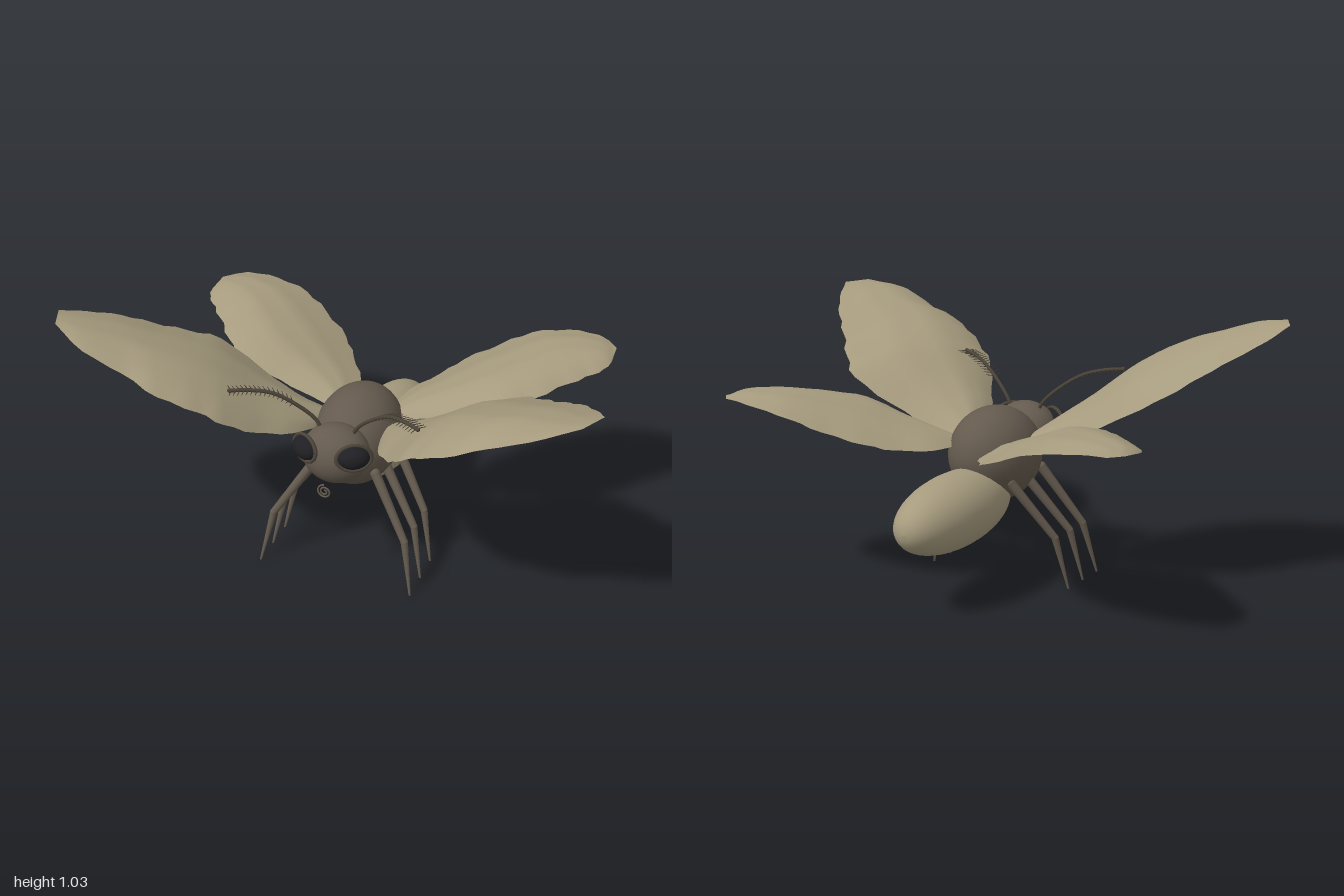
import * as THREE from 'three';

const mat = (name, color, extra = {}) => Object.assign(new THREE.MeshStandardMaterial({ color, ...extra }), { name });
const brown = mat('body brown', 0x645a4e);
const tan = mat('abdomen tan', 0xa69b7e);
const wingTan = mat('wing tan', 0xa69b7e, { side: THREE.DoubleSide });
const dark = mat('dark brown', 0x4a4338);
const black = mat('eye black', 0x202024);

const V = (x, y, z) => new THREE.Vector3(x, y, z);

function add(parent, name, geometry, material) {
  const mesh = new THREE.Mesh(geometry, material);
  mesh.name = name;
  parent.add(mesh);
  return mesh;
}

function ellipsoid(parent, name, material, center, radii) {
  const mesh = add(parent, name, new THREE.SphereGeometry(1, 36, 24), material);
  mesh.position.set(...center);
  mesh.scale.set(...radii);
  return mesh;
}

// Tapered rod between two points
function rod(parent, name, a, b, r0, r1, material, sides = 10) {
  const mesh = add(parent, name, new THREE.CylinderGeometry(r1, r0, a.distanceTo(b), sides), material);
  mesh.position.copy(a).lerp(b, 0.5);
  mesh.quaternion.setFromUnitVectors(V(0, 1, 0), b.clone().sub(a).normalize());
  return mesh;
}

// Arched, softly pleated wing lofted between its leading and trailing edges
function wingGeometry(lead, trail, side, arch) {
  const cols = 12, rows = 24, pos = [], index = [];
  const leadCurve = new THREE.CatmullRomCurve3(lead.map((p) => V(...p)));
  const trailCurve = new THREE.CatmullRomCurve3(trail.map((p) => V(...p)));
  for (let i = 0; i <= rows; i++) {
    const t = i / rows;
    const a = leadCurve.getPoint(t), b = trailCurve.getPoint(t);
    const fullness = Math.sin(Math.PI * (0.1 + 0.9 * t));
    // scalloped margin
    const scallop = 0.008 * Math.sin(i * 2.1) * Math.sin(Math.PI * t);
    const outward = b.clone().sub(a).normalize().multiplyScalar(scallop);
    a.sub(outward);
    b.add(outward);
    for (let j = 0; j <= cols; j++) {
      const u = j / cols;
      const p = a.clone().lerp(b, u);
      const pleat = 0.004 * Math.cos(u * Math.PI * 6) * Math.sin(Math.PI * u);
      p.y += fullness * (arch * Math.sin(Math.PI * Math.pow(u, 0.8)) + pleat);
      pos.push(side * p.x, p.y, p.z);
    }
  }
  const w = cols + 1;
  for (let i = 0; i < rows; i++) {
    for (let j = 0; j < cols; j++) {
      const a = i * w + j, b = a + 1, c = a + w, d = c + 1;
      if (side > 0) index.push(a, c, b, b, c, d);
      else index.push(a, b, c, b, d, c);
    }
  }
  const geometry = new THREE.BufferGeometry();
  geometry.setAttribute('position', new THREE.Float32BufferAttribute(pos, 3));
  geometry.setIndex(index);
  geometry.computeVertexNormals();
  return geometry;
}

const foreLead = [[.12, .55, .12], [.165, .595, .27], [.25, .66, .41], [.32, .735, .51], [.40, .795, .555],
  [.52, .86, .61], [.66, .92, .60], [.80, .985, .612], [.95, 1.025, .535]];
const foreTrail = [[.13, .55, 0], [.28, .585, -.015], [.43, .65, -.035], [.60, .74, -.045], [.70, .80, .04],
  [.79, .865, .14], [.87, .92, .22], [.95, .975, .33], [.997, 1.022, .435]];
const hindLead = [[.13, .55, -.02], [.26, .58, -.035], [.40, .62, -.045], [.53, .66, -.06], [.62, .68, -.15],
  [.72, .70, -.27], [.79, .71, -.35], [.83, .72, -.41], [.832, .735, -.535]];
const hindTrail = [[.08, .55, -.12], [.10, .555, -.24], [.185, .575, -.375], [.25, .605, -.46], [.375, .655, -.55],
  [.48, .70, -.60], [.62, .73, -.62], [.74, .74, -.605], [.79, .735, -.585]];

function leg(parent, side, name, hipY, hipZ, kneeZ, footZ) {
  const group = new THREE.Group();
  group.name = name;
  const hip = V(side * .12, hipY, hipZ), knee = V(side * .265, .205, kneeZ), foot = V(side * .306, 0, footZ);
  rod(group, 'upperLeg', hip, knee, .019, .014, brown);
  rod(group, 'lowerLeg', knee, foot, .014, .004, brown);
  ellipsoid(group, 'hip', brown, hip.toArray(), [.019, .019, .019]);
  ellipsoid(group, 'knee', brown, knee.toArray(), [.014, .014, .014]);
  parent.add(group);
}

function antenna(parent, side) {
  const group = new THREE.Group();
  group.name = 'antenna';
  const curve = new THREE.CatmullRomCurve3([[.055, .62, .25], [.085, .67, .255], [.15, .73, .28], [.22, .775, .31],
    [.29, .795, .35], [.355, .80, .388]].map(([x, y, z]) => V(side * x, y, z)));
  add(group, 'antennaStem', new THREE.TubeGeometry(curve, 28, .007, 8), dark);
  ellipsoid(group, 'antennaTip', dark, curve.getPoint(1).toArray(), [.008, .008, .008]);
  // feathery bristles on both sides of the outer half
  for (let i = 0; i < 15; i++) {
    const t = .42 + i * .04;
    const p = curve.getPoint(t), along = curve.getTangent(t);
    const across = V(-along.z, 0, along.x).normalize();
    for (const d of [-1, 1]) {
      const end = p.clone().addScaledVector(across, d * .036).addScaledVector(along, .012);
      rod(group, 'bristle', p, end, .0025, .001, dark, 4);
    }
  }
  parent.add(group);
}

function eye(parent, side) {
  const group = new THREE.Group();
  group.name = 'eye';
  group.position.set(side * .095, .582, .325);
  group.lookAt(side * (.095 + .5), .582 + .15, .325 + .85);
  ellipsoid(group, 'eyeball', black, [0, 0, 0], [.058, .042, .038]);
  const rim = add(group, 'eyeRim', new THREE.TorusGeometry(.064, .008, 8, 32), dark);
  rim.scale.y = .77;
  parent.add(group);
}

export function createModel() {
  const model = new THREE.Group();
  model.name = 'moth';

  // Body
  const thorax = ellipsoid(model, 'thorax', brown, [0, .5, .035], [.165, .183, .216]);
  thorax.rotation.x = .15;
  ellipsoid(model, 'head', brown, [0, .545, .26], [.128, .113, .108]);

  // Blunt abdomen turned around the long axis
  const profile = [];
  for (let i = 0; i <= 24; i++) {
    const a = Math.PI * i / 24;
    profile.push(new THREE.Vector2(i % 24 ? Math.pow(Math.sin(a), .9) : 0, -Math.cos(a)));
  }
  const abdomen = add(model, 'abdomen', new THREE.LatheGeometry(profile, 36), tan);
  abdomen.scale.set(.138, .325, .139);
  abdomen.rotation.x = Math.PI / 2 - .03;
  abdomen.position.set(0, .348, -.26);

  // Coiled feeding tube
  const coil = [];
  for (let i = 0; i <= 40; i++) {
    const a = i / 40 * Math.PI * 4, r = .006 + .022 * i / 40;
    coil.push(V(r * Math.sin(a), .446 + r * Math.cos(a), .375));
  }
  add(model, 'coiledTongue', new THREE.TubeGeometry(new THREE.CatmullRomCurve3(coil), 80, .0035, 6), brown);

  for (const side of [1, -1]) {
    add(model, 'foreWing', wingGeometry(foreLead, foreTrail, side, .085), wingTan);
    add(model, 'hindWing', wingGeometry(hindLead, hindTrail, side, .065), wingTan);
    leg(model, side, 'frontLeg', .43, .175, .25, .295);
    leg(model, side, 'middleLeg', .41, .07, .145, .18);
    leg(model, side, 'backLeg', .42, -.055, .03, .065);
    antenna(model, side);
    eye(model, side);
  }
  return model;
}
